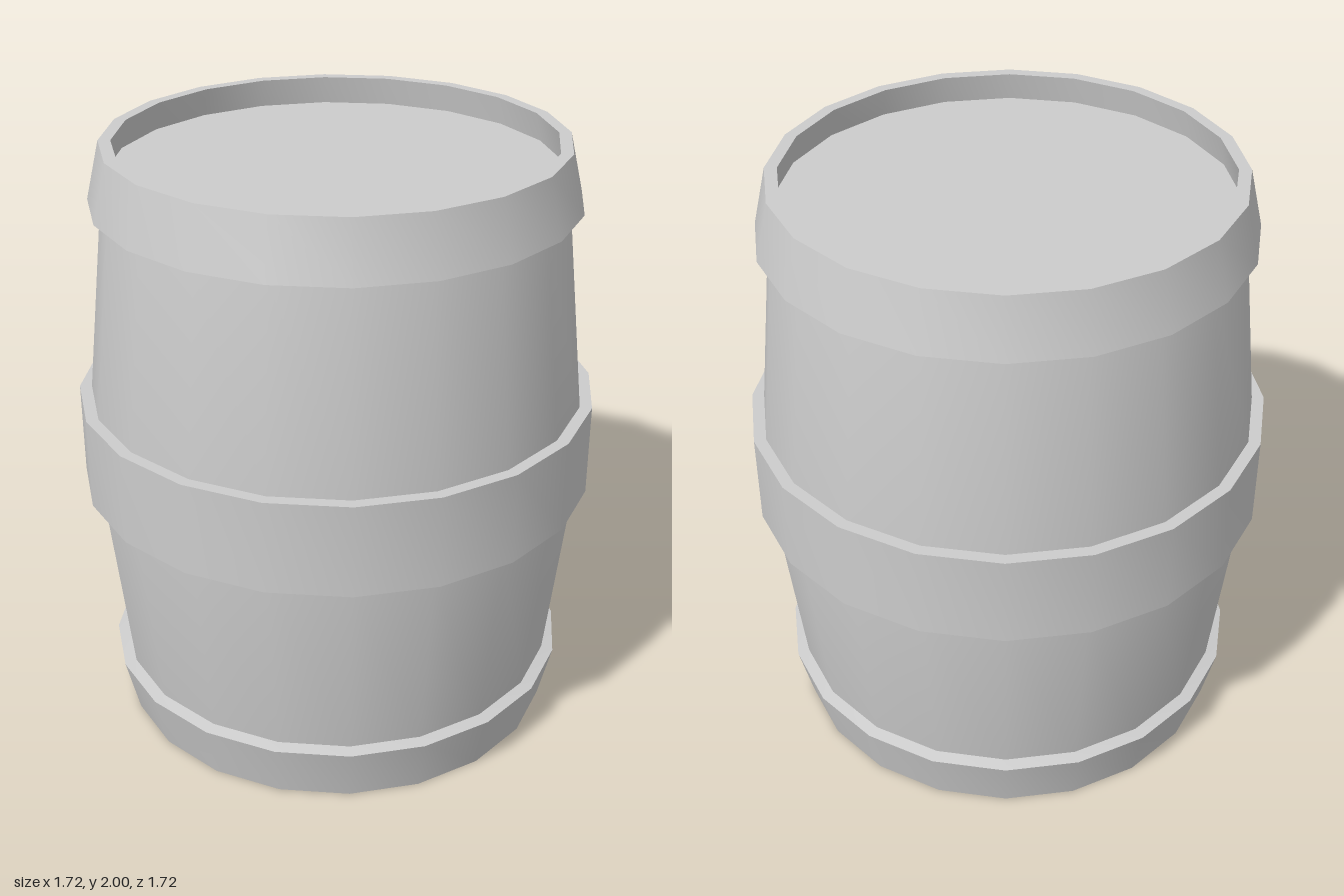
import * as THREE from 'three';
import { toCreasedNormals } from 'three/addons/utils/BufferGeometryUtils.js';

const SIDES = 20;
const material = new THREE.MeshStandardMaterial({ color: 0xcccccc });

// Revolves [radius, height] points, listed upwards along the outside
function turned(name, profile) {
  const points = profile.map(([r, y]) => new THREE.Vector2(r, y));
  const geometry = toCreasedNormals(new THREE.LatheGeometry(points, SIDES), 0.5);
  const mesh = new THREE.Mesh(geometry, material);
  mesh.name = name;
  return mesh;
}

export function createModel() {
  const barrel = new THREE.Group();
  barrel.name = 'barrel';

  // Bulging body with flat heads set in from both ends
  barrel.add(turned('body', [
    [0, 0.095], [0.733, 0.095], [0.75, 0.2], [0.82, 0.845],
    [0.82, 1.155], [0.75, 1.8], [0.733, 1.905], [0, 1.905],
  ]));

  // Straight hoop around the middle
  barrel.add(turned('middleHoop', [
    [0.815, 0.845], [0.86, 0.845], [0.86, 1.155], [0.815, 1.155], [0.815, 0.845],
  ]));

  // Slanted end hoops, which stand proud of the heads
  const endHoop = [[0.745, 1.8], [0.79, 1.81], [0.745, 2], [0.705, 2], [0.745, 1.8]];
  barrel.add(turned('topHoop', endHoop));
  barrel.add(turned('bottomHoop', endHoop.map(([r, y]) => [r, 2 - y]).reverse()));

  return barrel;
}
